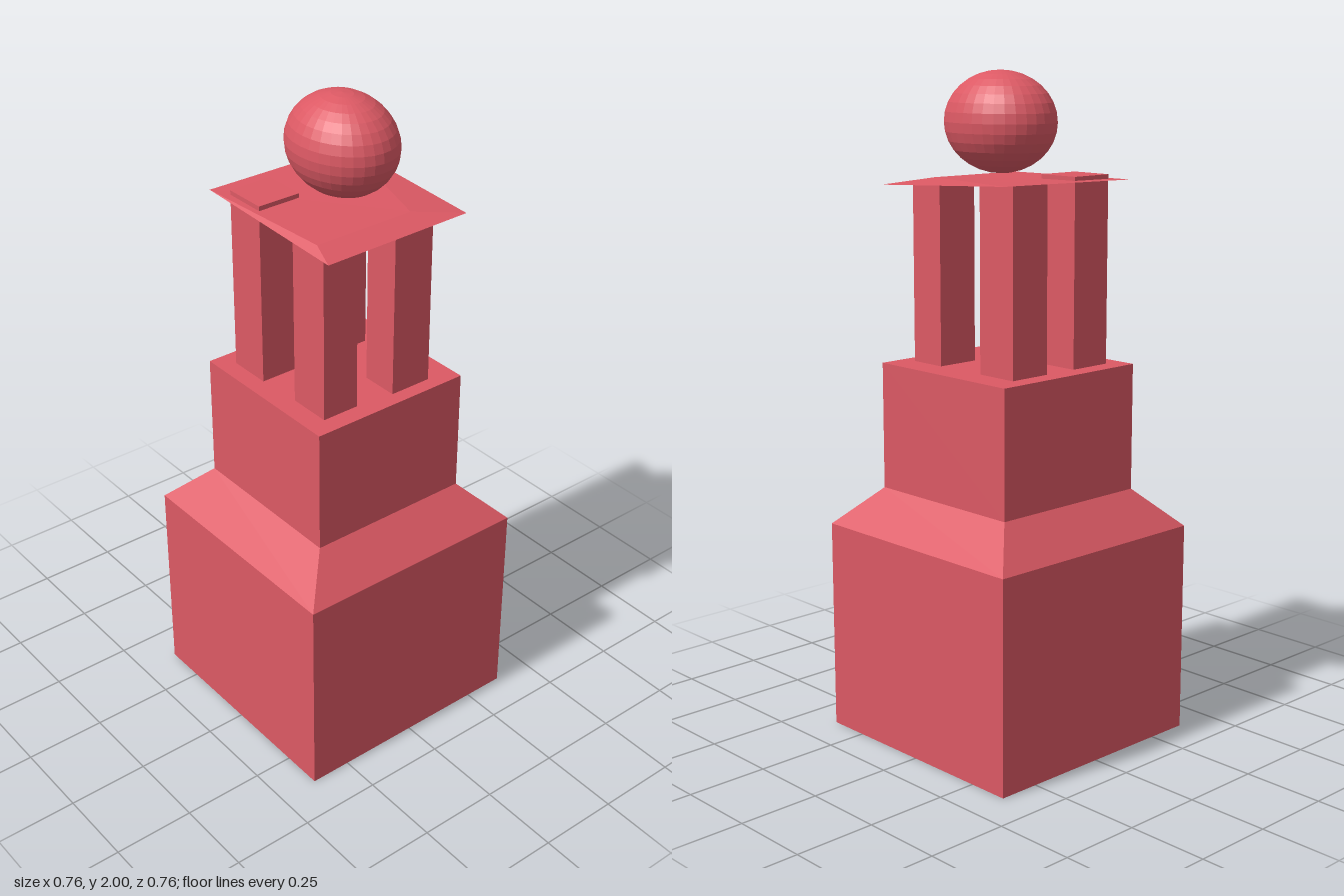
import * as THREE from 'three';

export function createModel() {
  const model = new THREE.Group();
  const red = new THREE.MeshStandardMaterial({ color: 0xdc5964, flatShading: true });
  red.name = 'coral red';
  const redSheet = new THREE.MeshStandardMaterial({ color: 0xdc5964, flatShading: true, side: THREE.DoubleSide });
  redSheet.name = 'coral red sheet';

  const add = (name, geometry, material = red) => {
    const mesh = new THREE.Mesh(geometry, material);
    mesh.name = name;
    model.add(mesh);
    return mesh;
  };

  // Box given by its minimum and maximum on each axis
  const block = (name, x0, x1, y0, y1, z0, z1) =>
    add(name, new THREE.BoxGeometry(x1 - x0, y1 - y0, z1 - z0))
      .position.set((x0 + x1) / 2, (y0 + y1) / 2, (z0 + z1) / 2);

  // Square plinth, sloped shoulder and upper block, as one four-sided profile
  const profile = [[0, 0], [0.378, 0], [0.378, 0.645], [0.263, 0.76], [0.263, 1.143], [0, 1.143]]
    .map(([half, y]) => new THREE.Vector2(half * Math.SQRT2, y));
  const base = new THREE.LatheGeometry(profile, 4, Math.PI / 4).toNonIndexed();
  base.computeVertexNormals();
  add('steppedBase', base);

  // Four uneven pillars
  block('frontLeftPillar', 0.04, 0.175, 1.143, 1.68, 0.1, 0.218);
  block('frontRightPillar', -0.2, -0.082, 1.143, 1.68, 0.07, 0.205);
  block('backLeftPillar', 0.04, 0.175, 1.143, 1.692, -0.205, -0.07);
  block('backRightPillar', -0.208, -0.07, 1.143, 1.702, -0.205, -0.07);

  // Thin slab with a front edge that slopes down
  const corners = [
    -0.235, 1.689, -0.267,  0.25, 1.696, -0.25,  // back edge
    0.255, 1.67, 0.265,  -0.235, 1.667, 0.27,    // front edge
    -0.21, 1.687, 0.19,  0.115, 1.688, 0.19,     // fold
  ];
  const slab = new THREE.BufferGeometry();
  slab.setAttribute('position', new THREE.Float32BufferAttribute(corners, 3));
  slab.setIndex([
    0, 4, 5, 0, 5, 1,  // top
    4, 3, 2, 4, 2, 5,  // front slope
    0, 3, 4, 1, 5, 2,  // sides
    0, 1, 2, 0, 2, 3,  // underside
  ]);
  const slabFaces = slab.toNonIndexed();
  slabFaces.computeVertexNormals();
  add('roofSlab', slabFaces, redSheet);

  // Faceted ball, stretched from front to back
  const ball = add('ball', new THREE.SphereGeometry(1, 32, 16));
  ball.scale.set(0.148, 0.147, 0.181);
  ball.position.set(0.024, 1.853, 0.004);

  return model;
}
